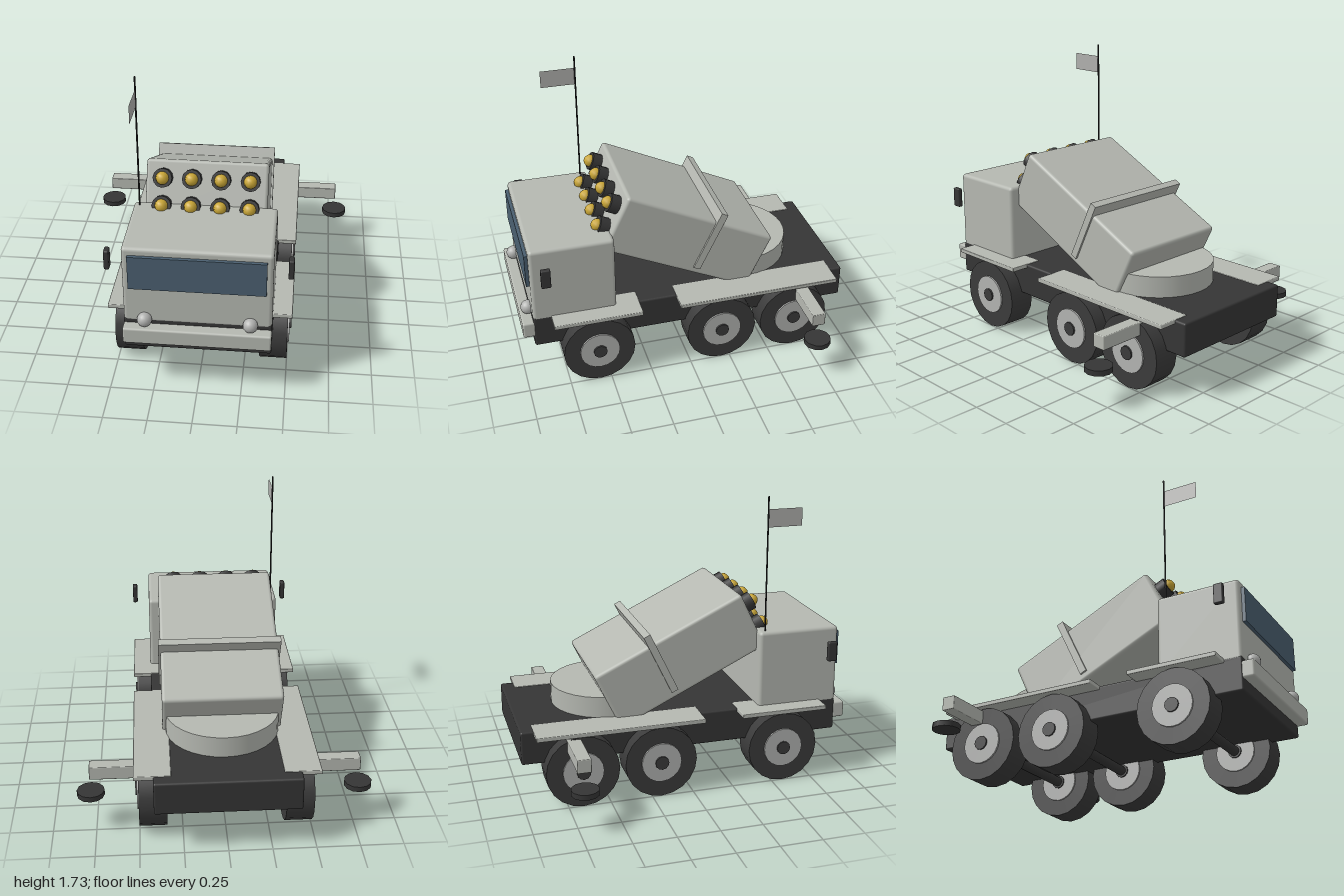
import * as THREE from 'three';
import { RoundedBoxGeometry } from 'three/addons/geometries/RoundedBoxGeometry.js';

const material = (name, color, extra = {}) => {
  const m = new THREE.MeshStandardMaterial({ color, ...extra });
  m.name = name;
  return m;
};

export function createModel() {
  const truck = new THREE.Group();
  truck.name = 'launcherTruck';

  const body = material('bodyGrey', 0xb5b8b1);
  const rim = material('rimGrey', 0xb2b3b1);
  const dark = material('chassisDark', 0x353535);
  const rubber = material('tyreRubber', 0x3b3b3b);
  const glass = material('windowBlue', 0x4a5f70);
  const brass = material('brass', 0xc9a636);
  const black = material('antennaBlack', 0x222222);
  const cloth = material('flagGrey', 0xb0b0ad, { side: THREE.DoubleSide });

  const add = (parent, name, geo, mat, x, y, z) => {
    const mesh = new THREE.Mesh(geo, mat);
    mesh.name = name;
    mesh.position.set(x, y, z);
    parent.add(mesh);
    return mesh;
  };
  // Box with softened edges; r = 0 gives sharp edges
  const box = (parent, name, mat, [w, h, d], [x, y, z], r = 0) =>
    add(parent, name, r ? new RoundedBoxGeometry(w, h, d, 2, r) : new THREE.BoxGeometry(w, h, d), mat, x, y, z);
  // Cylinder along x
  const drum = (parent, name, mat, r, len, [x, y, z], sides) =>
    add(parent, name, new THREE.CylinderGeometry(r, r, len, sides).rotateZ(Math.PI / 2), mat, x, y, z);

  // Chassis, bumper and cab
  box(truck, 'chassis', dark, [0.83, 0.2, 1.935], [0, 0.36, -0.0325], 0.012);
  box(truck, 'bumper', body, [0.83, 0.1, 0.075], [0, 0.38, 0.9625], 0.012);
  box(truck, 'cab', body, [0.83, 0.485, 0.5], [0, 0.68, 0.686], 0.022);
  box(truck, 'windshield', glass, [0.76, 0.208, 0.03], [0, 0.776, 0.941]);

  // Wheels on three axles, each with a fender
  for (const z of [0.565, -0.195, -0.66]) {
    drum(truck, 'axle', dark, 0.03, 0.8, [0, 0.215, z], 12);
    for (const s of [-1, 1]) {
      const wheel = new THREE.Group();
      wheel.name = 'wheel';
      wheel.position.set(s * 0.42, 0.215, z);
      truck.add(wheel);
      drum(wheel, 'tyre', rubber, 0.216, 0.16, [0, 0, 0], 20);
      drum(wheel, 'rim', rim, 0.12, 0.18, [0, 0, 0], 20);
      drum(wheel, 'hubCap', rubber, 0.041, 0.2, [0, 0, 0], 12);
      box(truck, 'fender', body, [0.21, 0.026, 0.53], [s * 0.42, 0.45, z], 0.005);
    }
  }

  // Headlights, mirrors and outriggers on both sides
  for (const s of [-1, 1]) {
    add(truck, 'headlight', new THREE.SphereGeometry(0.042, 16, 12), rim, s * 0.295, 0.466, 0.95);
    box(truck, 'mirror', dark, [0.03, 0.12, 0.056], [s * 0.508, 0.8, 0.857], 0.008);
    box(truck, 'outriggerBeam', body, [0.4, 0.08, 0.08], [s * 0.577, 0.38, -0.708], 0.005);
    add(truck, 'outriggerFoot', new THREE.CylinderGeometry(0.08, 0.08, 0.032, 12), dark, s * 0.775, 0.231, -0.708);
  }

  // Turntable under the launcher
  add(truck, 'turntable', new THREE.CylinderGeometry(0.336, 0.336, 0.135, 32), body, 0, 0.518, -0.41);

  // Tilted launcher: local +z points along the tubes
  const launcher = new THREE.Group();
  launcher.name = 'launcher';
  launcher.position.set(0, 0.771, -0.03);
  launcher.rotation.x = -THREE.MathUtils.degToRad(25.6);
  truck.add(launcher);
  box(launcher, 'launcherBox', body, [0.706, 0.368, 0.985], [0, 0, 0], 0.02);
  box(launcher, 'launcherBand', body, [0.73, 0.392, 0.043], [0, 0.055, -0.114]);
  for (const y of [-0.08, 0.078]) {
    for (const x of [-0.252, -0.084, 0.084, 0.252]) {
      const tube = new THREE.CylinderGeometry(0.056, 0.056, 0.085, 12).rotateX(Math.PI / 2);
      add(launcher, 'tube', tube, dark, x, y, 0.51);
      add(launcher, 'warhead', new THREE.SphereGeometry(0.038, 10, 8), brass, x, y, 0.554);
    }
  }

  // Antenna with flag
  add(truck, 'antenna', new THREE.CylinderGeometry(0.005, 0.005, 0.82, 8), black, -0.38, 1.315, 0.478);
  add(truck, 'flag', new THREE.PlaneGeometry(0.21, 0.106).rotateY(Math.PI / 2), cloth, -0.38, 1.597, 0.583);

  return truck;
}
